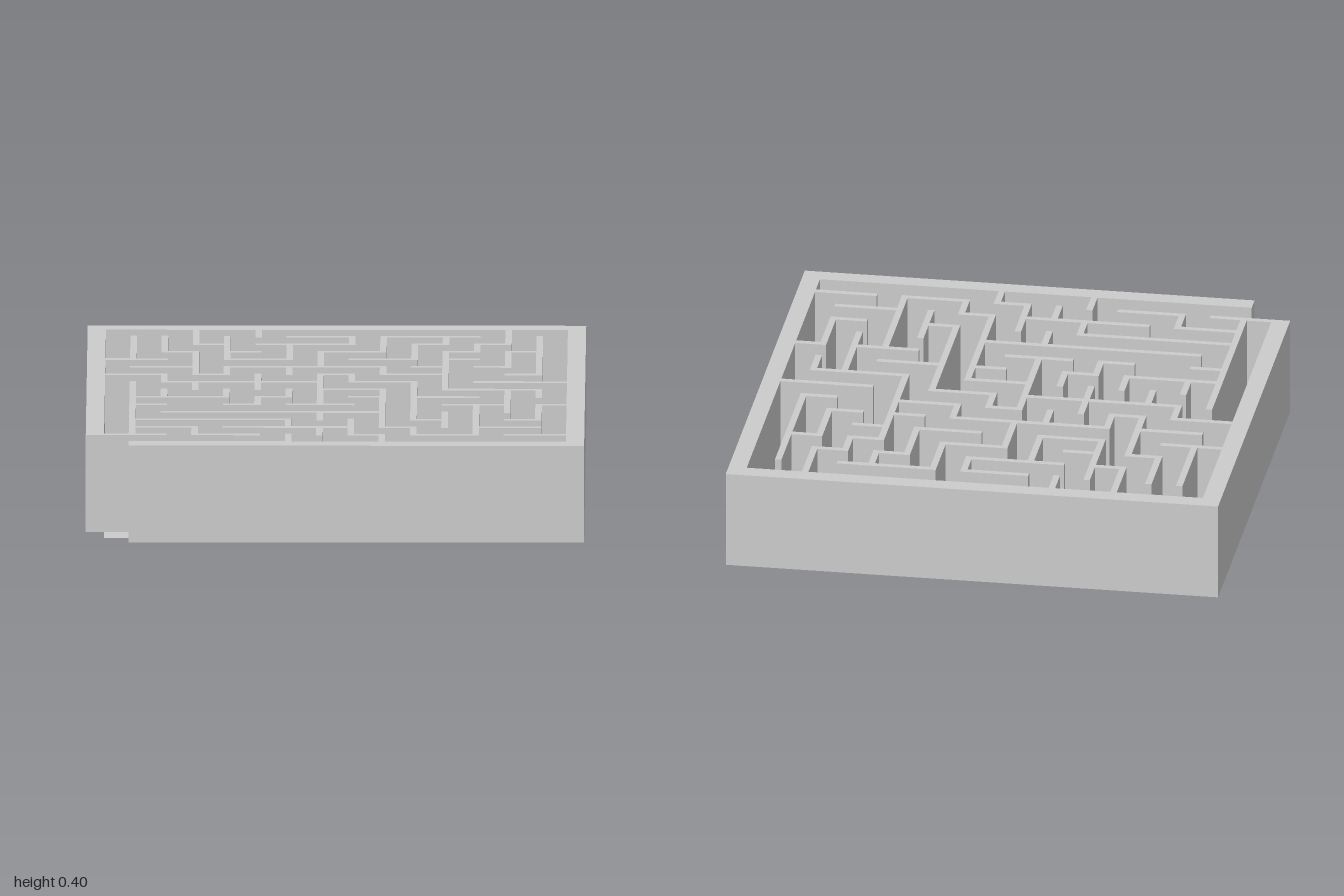
import * as THREE from 'three';

const HEIGHT = 0.4, CELLS = 15, PITCH = 0.1253, HALF = 0.0132;

// Wall runs on each inner grid line, as start/end pairs in cell units.
const acrossRuns = [ // lines 1..14 from back to front, runs along x
  [6, 8, 9, 12],
  [3, 4, 5, 8, 10, 11, 12, 13],
  [2, 3, 4, 5, 7, 9, 11, 12, 13, 14],
  [0, 2, 4, 6, 8, 10, 11, 12],
  [1, 3, 4, 9, 10, 11, 12, 13],
  [0, 2, 3, 4, 7, 8, 9, 11, 13, 14],
  [2, 7, 8, 10, 12, 15],
  [7, 9, 11, 14],
  [1, 4, 5, 6, 8, 9, 10, 12],
  [1, 2, 4, 5, 6, 8, 11, 13, 14, 15],
  [2, 9],
  [1, 6, 10, 11, 13, 14],
  [1, 3, 4, 8, 9, 10, 12, 14],
  [0, 2, 3, 5, 8, 9, 10, 12, 13, 15],
];
const depthRuns = [ // lines 1..14 from -x to +x, runs along z
  [1, 4, 7, 14],
  [1, 3, 6, 7, 8, 9],
  [0, 2, 3, 6, 7, 8, 13, 14],
  [1, 4, 5, 6, 8, 9],
  [0, 1, 6, 8, 9, 10],
  [2, 4, 5, 6, 8, 9, 12, 13, 14, 15],
  [3, 5, 6, 10, 11, 12, 13, 14],
  [1, 2, 6, 7, 12, 14],
  [1, 3, 5, 6, 8, 13, 14, 15],
  [2, 4, 7, 12, 13, 14],
  [1, 2, 3, 8, 11, 13],
  [2, 3, 10, 14],
  [0, 2, 3, 5, 8, 11],
  [1, 6, 8, 9, 10, 12],
];

const SLOTS = 2 * CELLS + 1; // wall slots are even, passages odd
const FLOOR = 0, WALL = 1, OUTSIDE = -1;

// Slot borders: thin inner walls, thick outer rim
const border = [-1];
for (let i = 0; i <= CELLS; i++) {
  const c = (i - CELLS / 2) * PITCH;
  if (i > 0) border.push(c - HALF);
  if (i < CELLS) border.push(c + HALF);
}
border.push(1);

function layout() {
  const grid = Array.from({ length: SLOTS }, () => new Array(SLOTS).fill(FLOOR));
  const last = SLOTS - 1;
  for (let k = 0; k < SLOTS; k++) {
    grid[k][0] = grid[k][last] = grid[0][k] = grid[last][k] = WALL;
  }
  const mark = (lines, set) => lines.forEach((runs, n) => {
    for (let r = 0; r < runs.length; r += 2) {
      for (let s = 2 * runs[r]; s <= 2 * runs[r + 1]; s++) set(2 * (n + 1), s);
    }
  });
  mark(acrossRuns, (line, s) => { grid[s][line] = WALL; });
  mark(depthRuns, (line, s) => { grid[line][s] = WALL; });
  // Corner entrance
  for (const [i, k] of [[0, last], [0, last - 1], [1, last]]) grid[i][k] = OUTSIDE;
  return grid;
}

function quadGeometry(quads) {
  const pos = [], index = [];
  quads.forEach((q, n) => {
    pos.push(...q.flat());
    index.push(...[0, 1, 2, 0, 2, 3].map((v) => v + 4 * n));
  });
  const g = new THREE.BufferGeometry();
  g.setAttribute('position', new THREE.Float32BufferAttribute(pos, 3));
  g.setIndex(index);
  g.computeVertexNormals();
  return g;
}

export function createModel() {
  const grid = layout();
  const walls = [], floor = [];
  const at = (i, k) => (grid[i] && grid[i][k] !== undefined ? grid[i][k] : OUTSIDE);

  for (let i = 0; i < SLOTS; i++) {
    for (let k = 0; k < SLOTS; k++) {
      const type = grid[i][k];
      if (type === OUTSIDE) continue;
      const x0 = border[i], x1 = border[i + 1], z0 = border[k], z1 = border[k + 1];
      const corners = [[x0, z1], [x1, z1], [x1, z0], [x0, z0]];
      const y = type === WALL ? HEIGHT : 0;
      (type === WALL ? walls : floor).push(corners.map(([x, z]) => [x, y, z]));
      if (type !== WALL) continue;
      // Upright faces wherever a wall meets open space
      [[0, 1], [1, 0], [0, -1], [-1, 0]].forEach(([di, dk], n) => {
        if (at(i + di, k + dk) === WALL) return;
        const [px, pz] = corners[n], [qx, qz] = corners[(n + 1) % 4];
        walls.push([[px, 0, pz], [qx, 0, qz], [qx, HEIGHT, qz], [px, HEIGHT, pz]]);
      });
    }
  }

  const material = new THREE.MeshStandardMaterial({ color: 0xcccccc, side: THREE.DoubleSide });
  const group = new THREE.Group();
  group.name = 'maze';
  // Rim and inner walls, hollow underneath
  const wallMesh = new THREE.Mesh(quadGeometry(walls), material);
  wallMesh.name = 'mazeWalls';
  // Passage floor between the walls
  const floorMesh = new THREE.Mesh(quadGeometry(floor), material);
  floorMesh.name = 'passageFloor';
  group.add(wallMesh, floorMesh);
  return group;
}
